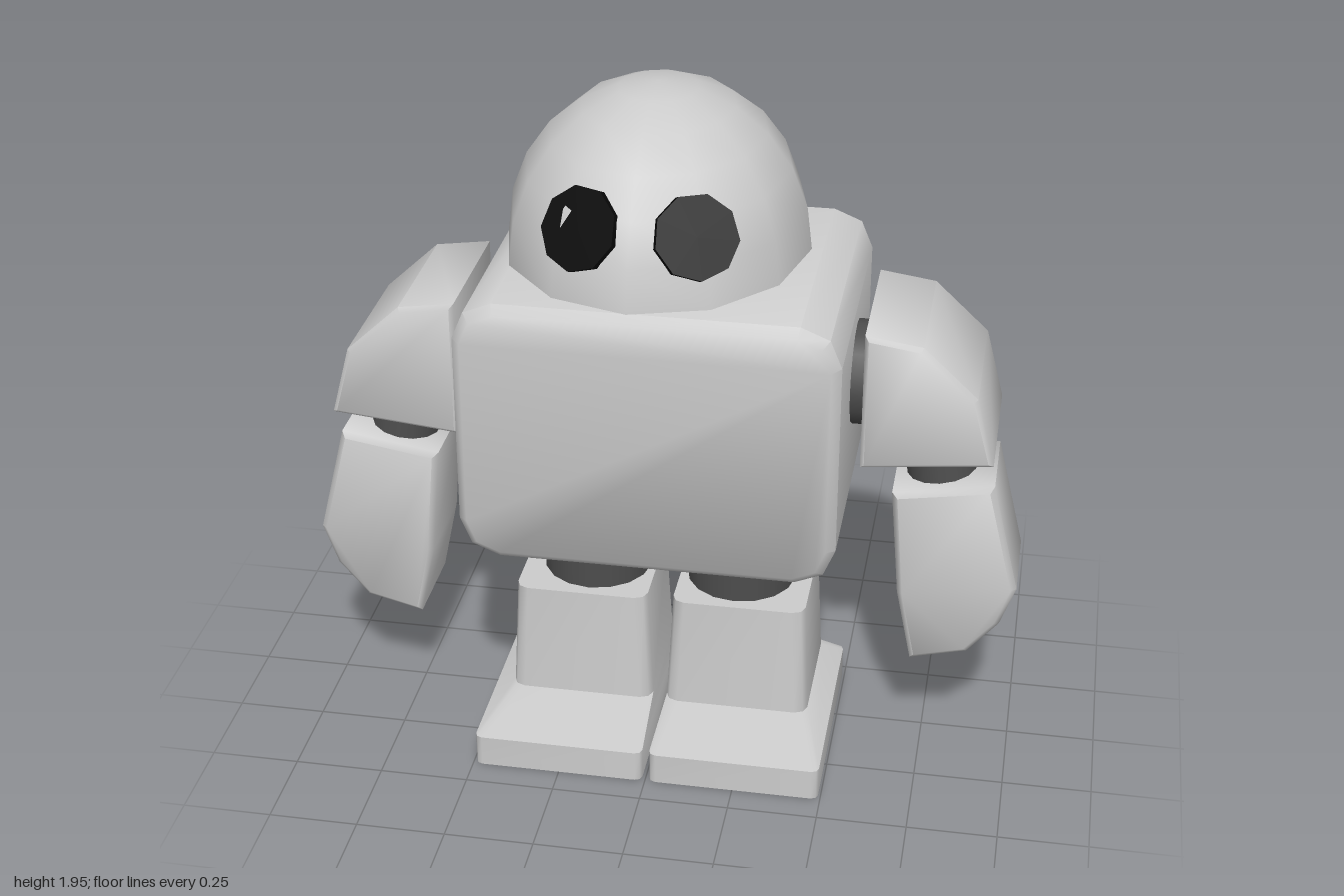
import * as THREE from 'three';
import { toCreasedNormals } from 'three/addons/utils/BufferGeometryUtils.js';

const flat = (name, color) => {
  const m = new THREE.MeshStandardMaterial({ color });
  m.name = name;
  return m;
};

// Rounded rectangle outline, counter-clockwise
function roundedRect(x0, x1, y0, y1, r, steps = 2) {
  const corners = [[x1 - r, y1 - r], [x0 + r, y1 - r], [x0 + r, y0 + r], [x1 - r, y0 + r]];
  return corners.flatMap(([cx, cy], k) => Array.from({ length: steps + 1 }, (_, i) => {
    const a = (k + i / steps) * Math.PI / 2;
    return [cx + r * Math.cos(a), cy + r * Math.sin(a)];
  }));
}

// Skin a list of { z, points } sections along +z and cap both ends
function loft(sections, crease = 0.8) {
  const n = sections[0].points.length;
  const pos = [], idx = [];
  sections.forEach(s => s.points.forEach(([x, y]) => pos.push(x, y, s.z)));
  for (let k = 0; k < sections.length - 1; k++) {
    for (let i = 0; i < n; i++) {
      const a = k * n + i, b = k * n + (i + 1) % n;
      idx.push(a, b, b + n, a, b + n, a + n);
    }
  }
  const last = (sections.length - 1) * n;
  for (let i = 1; i < n - 1; i++) {
    idx.push(0, i + 1, i, last, last + i, last + i + 1);
  }
  const g = new THREE.BufferGeometry();
  g.setAttribute('position', new THREE.Float32BufferAttribute(pos, 3));
  g.setIndex(idx);
  return toCreasedNormals(g, crease);
}

// Outline in the xy plane extruded to a total depth, with small softened edges
function slab(points, depth, bevel) {
  const shape = new THREE.Shape(points.map(([x, y]) => new THREE.Vector2(x, y)));
  const g = new THREE.ExtrudeGeometry(shape, {
    depth: depth - 2 * bevel, bevelThickness: bevel, bevelSize: bevel,
    bevelOffset: -bevel, bevelSegments: 1,
  });
  g.translate(0, 0, -depth / 2 + bevel);
  return toCreasedNormals(g, 0.85);
}

export function createModel() {
  const shell = flat('light grey shell', 0xcccccc);
  const joint = flat('dark grey joint', 0x4d4d4d);
  const black = flat('black eye', 0x080808);
  const model = new THREE.Group();
  model.name = 'robot';

  const add = (name, geometry, material, parent = model) => {
    const mesh = new THREE.Mesh(geometry, material);
    mesh.name = name;
    parent.add(mesh);
    return mesh;
  };

  // Torso: flat back, softened front edge
  add('torso', loft([
    { z: -0.38, points: roundedRect(-0.515, 0.515, 0.69, 1.455, 0.11) },
    { z: 0.385, points: roundedRect(-0.515, 0.515, 0.69, 1.455, 0.11) },
    { z: 0.41, points: roundedRect(-0.49, 0.49, 0.715, 1.43, 0.09) },
  ]), shell);

  // Neck
  add('neck', new THREE.CylinderGeometry(0.23, 0.23, 0.12, 16), joint).position.set(-0.01, 1.47, 0);

  // Head: twelve-sided oval dome
  const profile = [new THREE.Vector2(0, 0)];
  for (let i = 0; i <= 6; i++) {
    const a = i / 6 * Math.PI / 2;
    profile.push(new THREE.Vector2(i === 6 ? 0 : Math.cos(a), Math.sin(a)));
  }
  const dome = new THREE.LatheGeometry(profile, 12);
  dome.scale(0.415, 0.45, 0.48);
  add('head', toCreasedNormals(dome, 0.9), shell).position.set(-0.03, 1.5, 0);

  // Eyes: tilted discs on the dome
  for (const s of [-1, 1]) {
    const disc = new THREE.CylinderGeometry(0.112, 0.112, 0.035, 9);
    disc.rotateX(Math.PI / 2);
    const eye = add(s > 0 ? 'leftEye' : 'rightEye', disc, black);
    eye.position.set(-0.015 + s * 0.147, 1.682, 0.38);
    eye.rotation.set(-0.45, s * 0.42, 0, 'YXZ');
  }

  for (const s of [-1, 1]) {
    const side = s > 0 ? 'left' : 'right';
    const mirror = pts => pts.map(([x, y]) => [s * x, y]);

    // Arm
    const arm = new THREE.Group();
    arm.name = side + 'Arm';
    model.add(arm);
    const socket = new THREE.CylinderGeometry(0.145, 0.145, 0.14, 16);
    socket.rotateZ(Math.PI / 2);
    add('shoulderJoint', socket, joint, arm).position.set(s * 0.54, 1.145, 0);
    add('shoulderPad', slab(mirror([
      [0.555, 1.357], [0.71, 1.335], [0.86, 1.195], [0.912, 0.998], [0.555, 0.962],
    ]), 0.44, 0.012), shell, arm);
    const elbow = add('elbow', new THREE.CylinderGeometry(0.088, 0.1, 0.2, 14), joint, arm);
    elbow.position.set(s * 0.757, 0.93, 0);
    elbow.rotation.z = s * 0.15;
    add('forearm', slab(mirror([
      [0.64, 0.848], [0.918, 0.893], [0.997, 0.573], [0.955, 0.455],
      [0.87, 0.355], [0.712, 0.315], [0.667, 0.53],
    ]), 0.29, 0.015), shell, arm);

    // Leg and boot
    const leg = new THREE.Group();
    leg.name = side + 'Leg';
    model.add(leg);
    add('thigh', new THREE.CylinderGeometry(0.155, 0.155, 0.34, 16), joint, leg)
      .position.set(s * 0.21, 0.57, 0);
    const section = (y, inner, outer, back, front, r) => ({
      z: y,
      points: roundedRect(Math.min(s * inner, s * outer), Math.max(s * inner, s * outer), -front, -back, r),
    });
    const boot = loft([
      section(0, 0.01, 0.493, -0.228, 0.418, 0.02),
      section(0.092, 0.01, 0.493, -0.228, 0.418, 0.02),
      section(0.132, 0.02, 0.43, -0.2, 0.2, 0.035),
      section(0.462, 0.037, 0.415, -0.183, 0.188, 0.035),
    ], 0.85);
    boot.rotateX(-Math.PI / 2);
    add('boot', boot, shell, leg);
  }
  return model;
}
